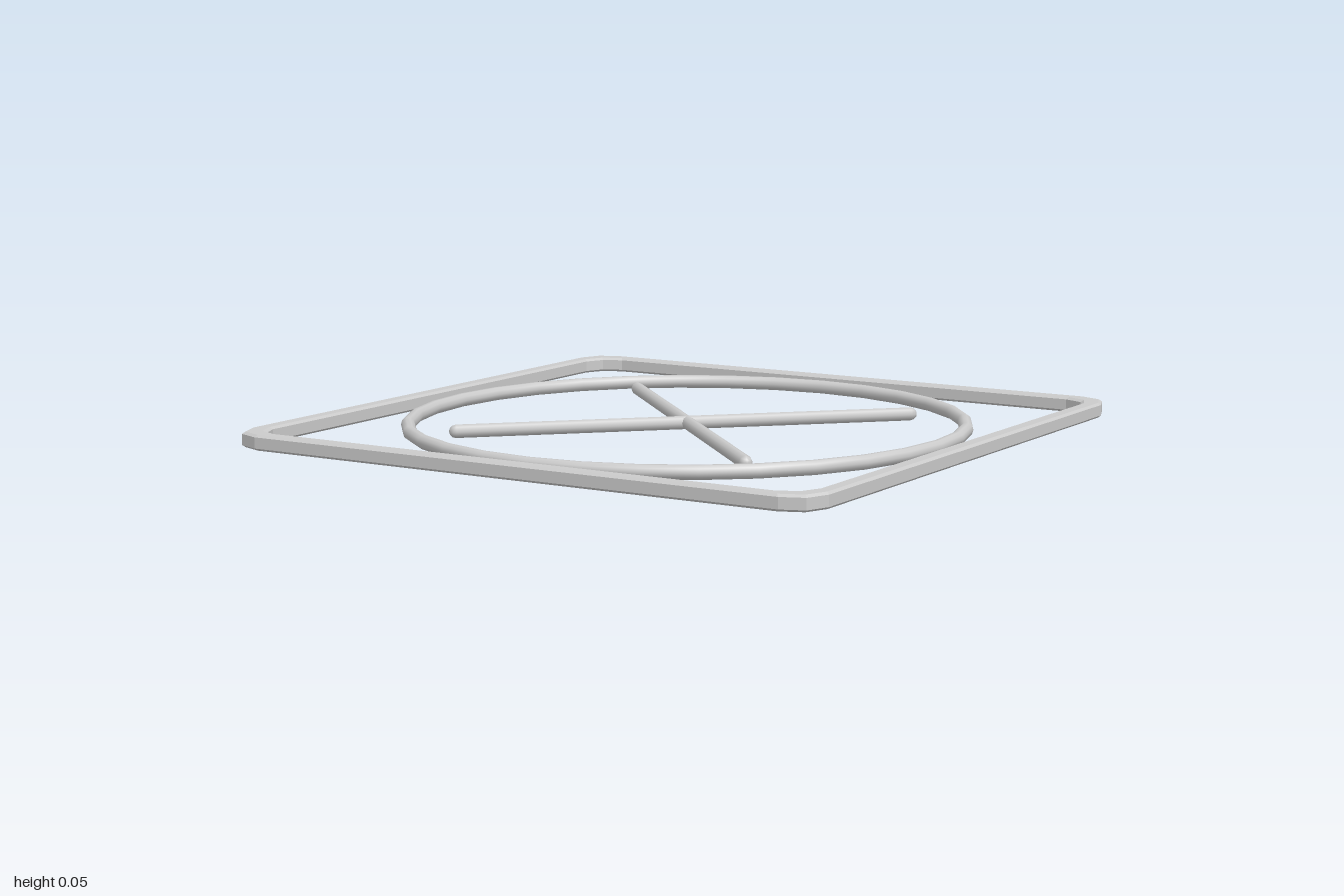
import * as THREE from 'three';

const R = 0.024; // half height of every rod

// Closed sweep of rounded-square cross-sections, each running from an outer to an inner plan point
function frameGeometry() {
  const corner = [ // [outer x, outer z, inner x, inner z] for the +x +z corner
    [1, 0.9, 0.948, 0.857],
    [0.972, 0.972, 0.92, 0.92],
    [0.9, 1, 0.857, 0.948],
  ];
  // section: [fraction from outer to inner, height]
  const c = 0.15, h = 2 * R, b = 0.007;
  const section = [[0, b], [0, h - b], [c, h], [1 - c, h], [1, h - b], [1, b], [1 - c, 0], [c, 0]];
  const rings = [];
  for (let q = 0; q < 4; q++) {
    const cos = Math.round(Math.cos(q * Math.PI / 2)), sin = Math.round(Math.sin(q * Math.PI / 2));
    for (const [ox, oz, ix, iz] of corner) {
      rings.push(section.map(([t, y]) => {
        const x = ox + (ix - ox) * t, z = oz + (iz - oz) * t;
        return [x * cos - z * sin, y, x * sin + z * cos];
      }));
    }
  }
  const pos = [], n = section.length;
  rings.forEach((a, i) => {
    const d = rings[(i + 1) % rings.length];
    for (let j = 0; j < n; j++) {
      const k = (j + 1) % n;
      pos.push(...a[j], ...a[k], ...d[j], ...a[k], ...d[k], ...d[j]);
    }
  });
  const g = new THREE.BufferGeometry();
  g.setAttribute('position', new THREE.Float32BufferAttribute(pos, 3));
  g.computeVertexNormals();
  return g;
}

export function createModel() {
  const group = new THREE.Group();
  const grey = new THREE.MeshStandardMaterial({ color: 0xcccccc });
  const add = (name, geometry) => {
    const mesh = new THREE.Mesh(geometry, grey);
    mesh.name = name;
    group.add(mesh);
    return mesh;
  };

  // Square outer frame with clipped corners
  add('outerFrame', frameGeometry());

  // Round ring inside the frame
  const ring = add('ring', new THREE.TorusGeometry(0.867, 0.022, 10, 32));
  ring.rotation.x = Math.PI / 2;
  ring.position.y = R;

  // Two crossed round-ended bars on the diagonals
  for (const side of [1, -1]) {
    const bar = add(side > 0 ? 'crossBarA' : 'crossBarB',
      new THREE.CapsuleGeometry(0.021, 2 * 0.514 * Math.SQRT2, 3, 8).rotateZ(Math.PI / 2));
    bar.rotation.y = side * Math.PI / 4;
    bar.position.y = R;
  }
  return group;
}
